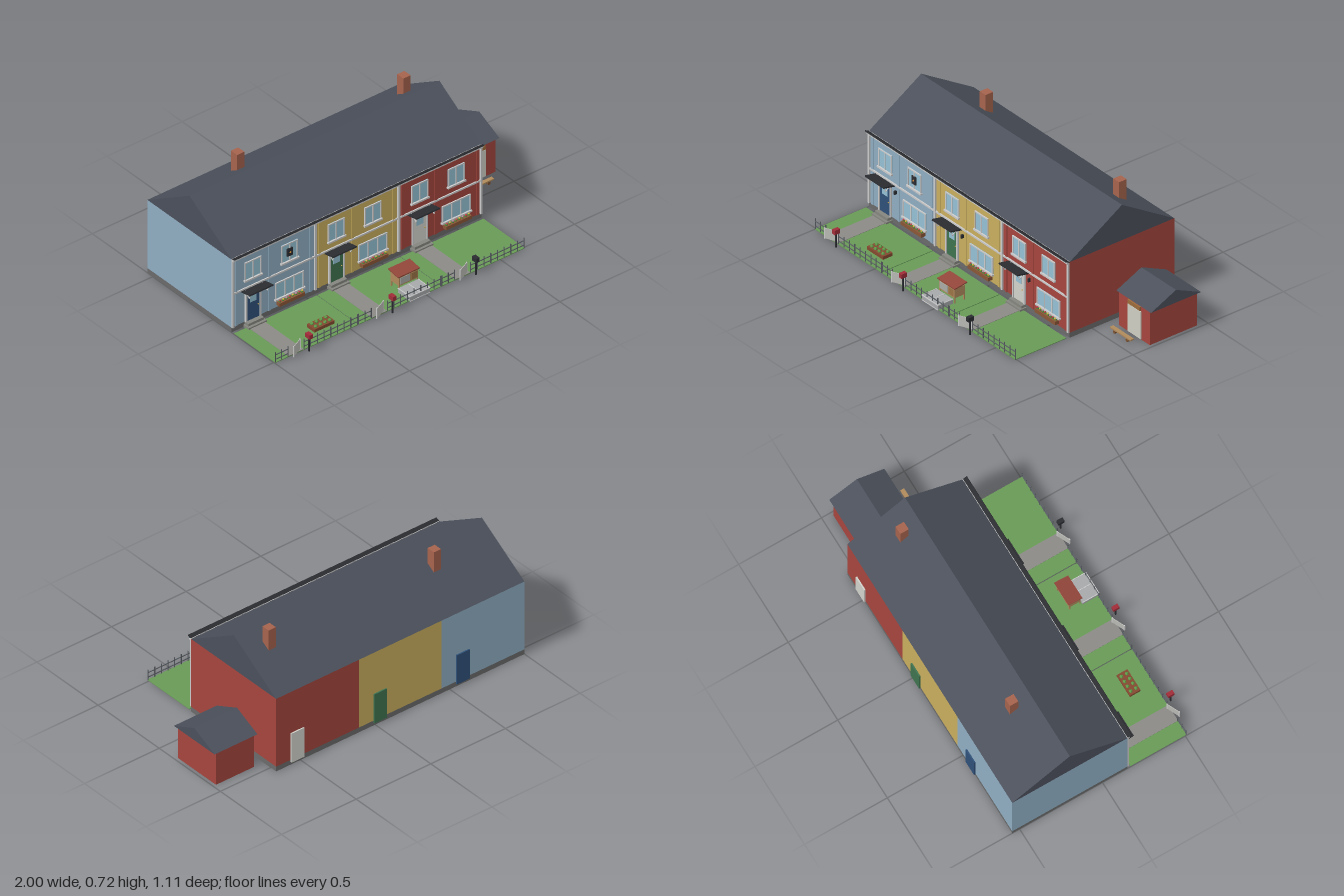
import * as THREE from 'three';

const materials = {};
const mat = (color) => (materials[color] ??= new THREE.MeshStandardMaterial({ color, flatShading: true, roughness: 0.9 }));

const SLATE = 0x4b505b, PLINTH = 0x6a6a6a, TRIM = 0xd4d6d4, GLASS = 0x93c0d4, BRICK = 0xa5634d;
const WOOD = 0xb08a5c, IRON = 0x5a5f64, LEAF = 0x4c8a3a, LAWN = 0x689a57, DARK = 0x2b2d31;
const FRONT = 0.15, BACK = -0.545;

function add(parent, name, geometry, color) {
  const mesh = new THREE.Mesh(geometry, mat(color));
  mesh.name = name;
  parent.add(mesh);
  return mesh;
}

// Box given by its limits on each axis
function box(parent, name, color, x0, x1, y0, y1, z0, z1) {
  const m = add(parent, name, new THREE.BoxGeometry(x1 - x0, y1 - y0, z1 - z0), color);
  m.position.set((x0 + x1) / 2, (y0 + y1) / 2, (z0 + z1) / 2);
  return m;
}

// Square bar between two points
function bar(parent, name, color, a, b, t) {
  const p = new THREE.Vector3(...a), q = new THREE.Vector3(...b);
  const m = add(parent, name, new THREE.BoxGeometry(t, t, p.distanceTo(q)), color);
  m.position.copy(p).add(q).multiplyScalar(0.5);
  m.lookAt(q);
  return m;
}

function ball(parent, name, color, x, y, z, r) {
  add(parent, name, new THREE.IcosahedronGeometry(r, 0), color).position.set(x, y, z);
}

// Gabled prism with its ridge along x
function gableRoof(parent, name, x0, x1, zFront, zBack, yEave, yRidge) {
  const s = new THREE.Shape([
    new THREE.Vector2(-zFront, yEave),
    new THREE.Vector2(-zBack, yEave),
    new THREE.Vector2(-(zFront + zBack) / 2, yRidge),
  ]);
  const g = new THREE.ExtrudeGeometry(s, { depth: x1 - x0, bevelEnabled: false });
  g.rotateY(Math.PI / 2);
  add(parent, name, g, SLATE).position.x = x0;
}

function windowUnit(parent, cx, y0, y1, w, panes) {
  const g = new THREE.Group();
  g.name = 'window';
  parent.add(g);
  const x0 = cx - w / 2, x1 = cx + w / 2, t = 0.007, z = FRONT;
  box(g, 'glass', GLASS, x0, x1, y0, y1, z - 0.005, z + 0.003);
  box(g, 'frameTop', TRIM, x0, x1, y1 - t, y1, z, z + 0.007);
  box(g, 'sill', TRIM, x0 - 0.005, x1 + 0.005, y0 - 0.003, y0 + t, z, z + 0.013);
  for (let i = 0; i <= panes; i++) {
    const x = x0 + t / 2 + ((w - t) * i) / panes;
    box(g, 'frameUpright', TRIM, x - t / 2, x + t / 2, y0, y1, z, z + 0.007);
  }
}

function frontDoor(parent, L, color) {
  const c = L + 0.14;
  box(parent, 'frontDoor', color, c - 0.042, c + 0.042, 0.03, 0.21, FRONT, FRONT + 0.005);
  box(parent, 'doorPane', GLASS, c - 0.022, c + 0.022, 0.14, 0.183, FRONT, FRONT + 0.007);
  ball(parent, 'doorKnob', 0xc9a84a, c + 0.032, 0.11, FRONT + 0.008, 0.004);
  for (const s of [-1, 1]) {
    const x = c + s * 0.047;
    box(parent, 'doorFrame', TRIM, x - 0.005, x + 0.005, 0.03, 0.22, FRONT, FRONT + 0.01);
    bar(parent, 'canopyBracket', TRIM, [c + s * 0.06, 0.205, 0.2], [c + s * 0.06, 0.236, 0.16], 0.004);
    bar(parent, 'canopyStrut', TRIM, [c + s * 0.06, 0.205, 0.2], [c + s * 0.06, 0.242, 0.212], 0.003);
  }
  box(parent, 'doorLintel', TRIM, c - 0.052, c + 0.052, 0.21, 0.222, FRONT, FRONT + 0.01);
  const canopy = box(parent, 'canopy', DARK, c - 0.078, c + 0.078, 0.234, 0.242, FRONT, FRONT + 0.077);
  canopy.rotation.x = -0.2;
  box(parent, 'porchLamp', DARK, L + 0.222, L + 0.232, 0.187, 0.207, FRONT, FRONT + 0.015);
  box(parent, 'lowerStep', 0x85857f, c - 0.06, c + 0.06, 0, 0.015, FRONT, 0.195);
  box(parent, 'upperStep', 0x85857f, c - 0.052, c + 0.052, 0.015, 0.03, FRONT, 0.18);
}

function flowerBox(parent, cx) {
  box(parent, 'windowBox', 0x8a5636, cx - 0.085, cx + 0.085, 0.045, 0.066, FRONT, 0.178);
  for (let i = 0; i < 8; i++) {
    const x = cx - 0.074 + i * 0.0211;
    ball(parent, 'foliage', LEAF, x, 0.069, 0.165, 0.008);
    ball(parent, 'flower', [0xc9474f, 0xd9b84a, 0xc98aa6][i % 3], x, 0.077, 0.168, 0.006);
  }
}

function garden(parent, L, W, boxColor) {
  const g = new THREE.Group();
  g.name = 'garden';
  parent.add(g);
  box(g, 'lawn', LAWN, L + 0.002, L + W - 0.003, 0.001, 0.005, FRONT + 0.02, 0.51);
  box(g, 'path', 0x8b8a86, L + 0.09, L + 0.19, 0, 0.007, FRONT + 0.02, 0.51);
  // Railings either side of the path
  for (const [a, b] of [[L + 0.004, L + 0.088], [L + 0.195, L + W - 0.004]]) {
    for (const y of [0.022, 0.05]) bar(g, 'fenceRail', IRON, [a, y, 0.507], [b, y, 0.507], 0.004);
    const n = Math.round((b - a) / 0.042);
    for (let i = 0; i <= n; i++) {
      const x = a + ((b - a) * i) / n;
      box(g, 'fencePicket', IRON, x - 0.002, x + 0.002, 0, 0.068, 0.505, 0.509);
    }
  }
  // Gate standing ajar
  const gate = new THREE.Group();
  gate.name = 'gate';
  gate.position.set(L + 0.18, 0, 0.495);
  gate.rotation.y = 0.44;
  g.add(gate);
  box(gate, 'gatePanel', 0xb9b9b4, -0.083, 0, 0.006, 0.068, -0.002, 0.002);
  for (const x of [-0.08, -0.003]) box(gate, 'gateStile', TRIM, x - 0.003, x + 0.003, 0.004, 0.071, -0.003, 0.003);
  // Letter box on a post
  box(g, 'letterPost', DARK, L + 0.203, L + 0.211, 0, 0.087, 0.531, 0.538);
  box(g, 'letterBox', boxColor, L + 0.196, L + 0.219, 0.085, 0.111, 0.516, 0.552);
}

function planter(parent) {
  box(parent, 'planter', 0x84492f, -0.67, -0.537, 0, 0.024, 0.363, 0.427);
  for (let i = 0; i < 8; i++) {
    ball(parent, 'plant', 0x5f9a48, -0.65 + (i % 4) * 0.031, 0.027, i < 4 ? 0.379 : 0.411, 0.011);
  }
}

function hutch(parent) {
  const g = new THREE.Group();
  g.name = 'hutch';
  parent.add(g);
  box(g, 'hutchBody', WOOD, -0.095, 0.033, 0.037, 0.093, 0.34, 0.41);
  box(g, 'hutchMesh', 0xa9aaa6, -0.088, -0.022, 0.045, 0.086, 0.4, 0.412);
  box(g, 'hutchDoor', 0x9a7346, -0.015, 0.027, 0.045, 0.086, 0.4, 0.412);
  const roof = box(g, 'hutchRoof', 0x93463a, -0.104, 0.04, 0.099, 0.105, 0.33, 0.415);
  roof.rotation.x = 0.14;
  for (const x of [-0.092, 0.03]) for (const z of [0.344, 0.406]) {
    box(g, 'hutchLeg', WOOD, x - 0.003, x + 0.003, 0, 0.04, z - 0.003, z + 0.003);
  }
  box(g, 'run', 0xa6a8aa, -0.106, 0.028, 0, 0.032, 0.415, 0.515);
  for (const x of [-0.106, -0.039, 0.028]) bar(g, 'runFrame', TRIM, [x, 0.032, 0.415], [x, 0.032, 0.517], 0.004);
  for (const y of [0.004, 0.032]) bar(g, 'runRail', TRIM, [-0.106, y, 0.515], [0.028, y, 0.515], 0.004);
}

function shed(parent) {
  const g = new THREE.Group();
  g.name = 'shed';
  parent.add(g);
  box(g, 'shedWalls', 0xa5453d, 0.725, 0.98, 0, 0.21, -0.44, -0.128);
  gableRoof(g, 'shedRoof', 0.713, 1, -0.12, -0.453, 0.208, 0.285);
  box(g, 'shedDoor', 0xcfcec2, 0.803, 0.912, 0.005, 0.172, -0.13, -0.122);
  box(g, 'shedSign', 0x9c6a3a, 0.805, 0.908, 0.176, 0.199, -0.13, -0.119);
  // Low board on rollers beside the shed
  box(g, 'board', WOOD, 0.742, 0.912, 0.019, 0.027, -0.077, -0.054);
  for (const x of [0.775, 0.88]) {
    const roller = add(g, 'roller', new THREE.CylinderGeometry(0.01, 0.01, 0.02, 10), 0x7a5233);
    roller.rotation.x = Math.PI / 2;
    roller.position.set(x, 0.01, -0.065);
  }
}

export function createModel() {
  const model = new THREE.Group();
  model.name = 'terrace';
  const X0 = -1, X1 = 0.663, W = (X1 - X0) / 3;
  const houses = [
    { wall: 0x8fadc2, door: 0x2f5078, post: 0xa02c38 },
    { wall: 0xc9ae5e, door: 0x3f7350, post: 0xa02c38 },
    { wall: 0xa5453d, door: 0xd2d2cc, post: DARK },
  ];

  houses.forEach(({ wall, door, post }, i) => {
    const L = X0 + i * W;
    const h = new THREE.Group();
    h.name = 'house' + (i + 1);
    model.add(h);
    box(h, 'walls', wall, L, L + W, 0.03, 0.46, BACK, FRONT);
    for (const x of [0.03, 0.25, 0.525]) box(h, 'pilaster', wall, L + x - 0.008, L + x + 0.008, 0.03, 0.45, FRONT, FRONT + 0.004);
    for (const x of [0.14, 0.383]) windowUnit(h, L + x, 0.287, 0.402, 0.11, 2);
    windowUnit(h, L + 0.383, 0.078, 0.185, 0.19, 3);
    flowerBox(h, L + 0.383);
    frontDoor(h, L, door);
    box(h, 'backDoor', door, L + 0.372, L + 0.457, 0.016, 0.2, -0.553, BACK);
    garden(h, L, W, post);
  });

  // Shared plinth, roof and trim
  box(model, 'plinth', PLINTH, X0, X1, 0, 0.03, BACK, FRONT);
  gableRoof(model, 'roof', X0, X1, FRONT, BACK, 0.46, 0.675);
  box(model, 'stringCourse', TRIM, X0, X1, 0.235, 0.245, FRONT, FRONT + 0.007);
  box(model, 'gutter', TRIM, X0, X1, 0.45, 0.464, FRONT, 0.166);
  box(model, 'eaves', DARK, X0, X1, 0.462, 0.469, FRONT, 0.177).rotation.x = -0.45;
  for (const x of [X0 + 0.006, X0 + W, X0 + 2 * W, X1 - 0.006]) {
    box(model, 'downpipe', TRIM, x - 0.006, x + 0.006, 0.03, 0.455, FRONT, FRONT + 0.01);
  }
  for (const x of [-0.593, 0.513]) box(model, 'chimney', BRICK, x - 0.024, x + 0.024, 0.5, 0.72, -0.33, -0.279);

  // Small hanging picture at an upper window
  box(model, 'picture', DARK, -0.635, -0.6, 0.323, 0.37, FRONT, FRONT + 0.011);
  ball(model, 'pictureSpot', 0xd08a3c, -0.617, 0.346, FRONT + 0.009, 0.007);

  planter(model);
  hutch(model);
  shed(model);
  return model;
}
